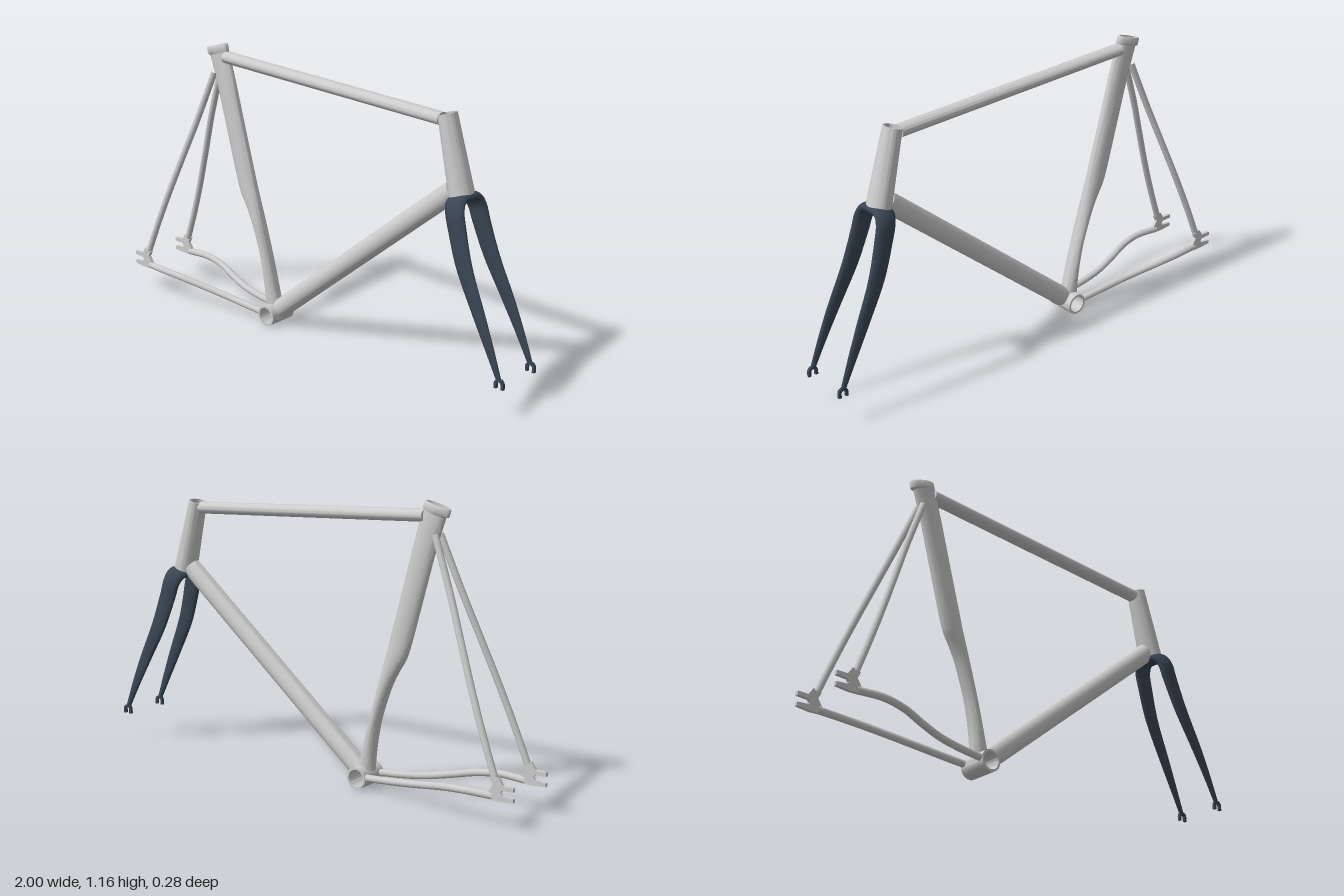
import * as THREE from 'three';
import { toCreasedNormals } from 'three/addons/utils/BufferGeometryUtils.js';

const V = (x, y, z = 0) => new THREE.Vector3(x, y, z);
const grey = new THREE.MeshStandardMaterial({ color: 0xcccccc });
const dark = new THREE.MeshStandardMaterial({ color: 0x3a4654 });

function add(parent, name, geometry, material = grey) {
  const mesh = new THREE.Mesh(geometry, material);
  mesh.name = name;
  parent.add(mesh);
  return mesh;
}

// Skin over elliptical sections [x, y, z, halfU, halfV]; v defaults to tangent x u
function loft(rows, u, fixedV = null, sides = 28) {
  const pos = [], idx = [], n = rows.length;
  const at = i => V(...rows[Math.min(Math.max(i, 0), n - 1)].slice(0, 3));
  rows.forEach(([x, y, z, a, b], i) => {
    const v = fixedV || at(i + 1).sub(at(i - 1)).cross(u).normalize();
    for (let j = 0; j < sides; j++) {
      const t = j / sides * Math.PI * 2;
      const p = V(x, y, z).addScaledVector(u, a * Math.cos(t)).addScaledVector(v, b * Math.sin(t));
      pos.push(p.x, p.y, p.z);
    }
  });
  for (let i = 0; i < n - 1; i++) for (let j = 0; j < sides; j++) {
    const k = (j + 1) % sides, A = i * sides, B = A + sides;
    idx.push(A + j, A + k, B + k, A + j, B + k, B + j);
  }
  for (let j = 1; j < sides - 1; j++) {
    const E = (n - 1) * sides;
    idx.push(0, j + 1, j, E, E + j, E + j + 1);
  }
  const g = new THREE.BufferGeometry();
  g.setAttribute('position', new THREE.Float32BufferAttribute(pos, 3));
  g.setIndex(idx);
  return toCreasedNormals(g, 0.8);
}

// Resample section rows along a smooth curve
function smooth(rows, count) {
  const path = new THREE.CatmullRomCurve3(rows.map(r => V(r[0], r[1], r[2])));
  const size = new THREE.CatmullRomCurve3(rows.map(r => V(r[3], r[4])));
  return Array.from({ length: count + 1 }, (_, i) => {
    const p = path.getPoint(i / count), s = size.getPoint(i / count);
    return [p.x, p.y, p.z, s.x, s.y];
  });
}

const stay = (pts, r) =>
  new THREE.TubeGeometry(new THREE.CatmullRomCurve3(pts.map(p => V(...p))), 40, r, 14);

// Hollow pipe around y: outer radii at bottom and top, wall thickness
function pipe(r0, r1, h, wall) {
  const pts = [[r0 - wall, -h / 2], [r0, -h / 2], [r1, h / 2], [r1 - wall, h / 2], [r0 - wall, -h / 2]];
  return toCreasedNormals(new THREE.LatheGeometry(pts.map(p => new THREE.Vector2(...p)), 40), 0.6);
}

function plate(shape, depth) {
  const g = new THREE.ExtrudeGeometry(shape, { depth, bevelEnabled: false, curveSegments: 16 });
  return g.translate(0, 0, -depth / 2);
}

export function createModel() {
  const root = new THREE.Group();
  root.name = 'bicycleFrame';

  // Bottom bracket shell, open through z
  const shell = add(root, 'bottomBracketShell', pipe(0.044, 0.044, 0.127, 0.009));
  shell.rotation.x = Math.PI / 2;
  shell.position.set(-0.25, 0.045, 0);

  // Seat tube with wheel cutout: [distance up, back edge, front edge, half width]
  const axis = V(-0.27, 0.963), across = V(0.963, 0.27), side = V(0, 0, -1);
  const seatRow = ([s, back, front, b]) => {
    const p = V(-0.25, 0.045).addScaledVector(axis, s).addScaledVector(across, (back + front) / 2);
    return [p.x, p.y, 0, (front - back) / 2, b];
  };
  const seatProfile = smooth([
    [0.036, -0.036, 0.037, 0.034], [0.09, -0.024, 0.037, 0.034], [0.165, -0.012, 0.038, 0.033],
    [0.25, -0.006, 0.039, 0.032], [0.33, -0.009, 0.039, 0.032], [0.41, -0.018, 0.04, 0.031],
    [0.47, -0.032, 0.041, 0.03], [0.53, -0.049, 0.041, 0.03], [0.6, -0.054, 0.042, 0.029],
    [0.8, -0.054, 0.043, 0.028], [1.0, -0.055, 0.045, 0.026], [1.12, -0.061, 0.044, 0.024],
  ].map(seatRow), 66);
  add(root, 'seatTube', loft(seatProfile, across, side));

  // Seat collar with recessed opening
  add(root, 'seatCollar', loft([
    [1.115, -0.061, 0.043, 0.022], [1.122, -0.073, 0.045, 0.027], [1.148, -0.073, 0.045, 0.027],
    [1.152, -0.069, 0.041, 0.024], [1.152, -0.06, 0.035, 0.019], [1.124, -0.06, 0.035, 0.019],
  ].map(seatRow), across, side));

  // Top tube and down tube
  add(root, 'topTube', loft([[-0.52, 1.107, 0, 0.031, 0.025], [0.606, 1.052, 0, 0.031, 0.025]], V(0, 0, 1)));
  add(root, 'downTube', loft([[-0.222, 0.068, 0, 0.037, 0.041], [0.67, 0.791, 0, 0.037, 0.041]], V(0, 0, 1)));

  // Tapered head tube, open at the top
  const headTop = V(0.629, 1.077), headBase = V(0.706, 0.78);
  const headDir = headTop.clone().sub(headBase);
  const head = add(root, 'headTube', pipe(0.047, 0.036, headDir.length(), 0.006));
  head.position.copy(headTop).add(headBase).multiplyScalar(0.5);
  head.rotation.z = Math.atan2(-headDir.x, headDir.y);
  head.scale.z = 1.12;

  // Fork: one sweep from tip to tip over the crown
  const fork = new THREE.Group();
  fork.name = 'fork';
  root.add(fork);
  const blade = [
    [0.973, 0.152, 0.1, 0.011, 0.007], [0.925, 0.26, 0.098, 0.02, 0.009],
    [0.868, 0.38, 0.094, 0.029, 0.011], [0.79, 0.54, 0.085, 0.037, 0.014],
    [0.745, 0.67, 0.074, 0.041, 0.017], [0.726, 0.735, 0.067, 0.043, 0.019],
    [0.715, 0.766, 0.046, 0.046, 0.021],
  ];
  const mirrored = blade.map(([x, y, z, a, b]) => [x, y, -z, a, b]).reverse();
  const forkRows = smooth([...blade, [0.712, 0.772, 0, 0.048, 0.023], ...mirrored], 84);
  add(fork, 'forkBladesAndCrown', loft(forkRows, V(0.968, 0.25)), dark);

  // Hooked fork end, opening downward
  const hook = new THREE.Shape();
  hook.moveTo(0.021, -0.018);
  hook.lineTo(0.021, 0);
  hook.absarc(0, 0, 0.021, 0, Math.PI);
  hook.lineTo(-0.021, -0.018);
  hook.lineTo(-0.01, -0.018);
  hook.lineTo(-0.01, 0);
  hook.absarc(0, 0, 0.01, Math.PI, 0, true);
  hook.lineTo(0.01, -0.018);

  // Slotted rear dropout outline
  const dropout = new THREE.Shape([
    [-1, 0.168], [-0.955, 0.168], [-0.935, 0.197], [-0.9, 0.187], [-0.913, 0.163], [-0.895, 0.135],
    [-0.895, 0.108], [-0.94, 0.106], [-1, 0.111], [-1, 0.126], [-0.953, 0.13], [-0.945, 0.14],
    [-0.953, 0.15], [-1, 0.152],
  ].map(p => new THREE.Vector2(...p)));

  // Paired parts on both sides
  for (const s of [1, -1]) {
    const label = s > 0 ? 'Front' : 'Back';
    add(fork, 'forkEnd' + label, plate(hook, 0.012), dark).position.set(0.976, 0.138, s * 0.1);
    add(root, 'rearDropout' + label, plate(dropout, 0.014)).position.z = s * 0.12;
    add(root, 'seatStay' + label, stay([
      [-0.918, 0.185, s * 0.118], [-0.86, 0.33, s * 0.109], [-0.8, 0.48, s * 0.093],
      [-0.73, 0.655, s * 0.067], [-0.66, 0.83, s * 0.04], [-0.575, 1.04, s * 0.018],
    ], 0.0135));
    add(root, 'chainStay' + label, stay([
      [-0.91, 0.121, s * 0.119], [-0.8, 0.122, s * 0.127], [-0.7, 0.112, s * 0.115],
      [-0.6, 0.092, s * 0.088], [-0.5, 0.073, s * 0.065], [-0.4, 0.06, s * 0.054],
      [-0.287, 0.05, s * 0.048],
    ], 0.0145));
  }
  return root;
}
